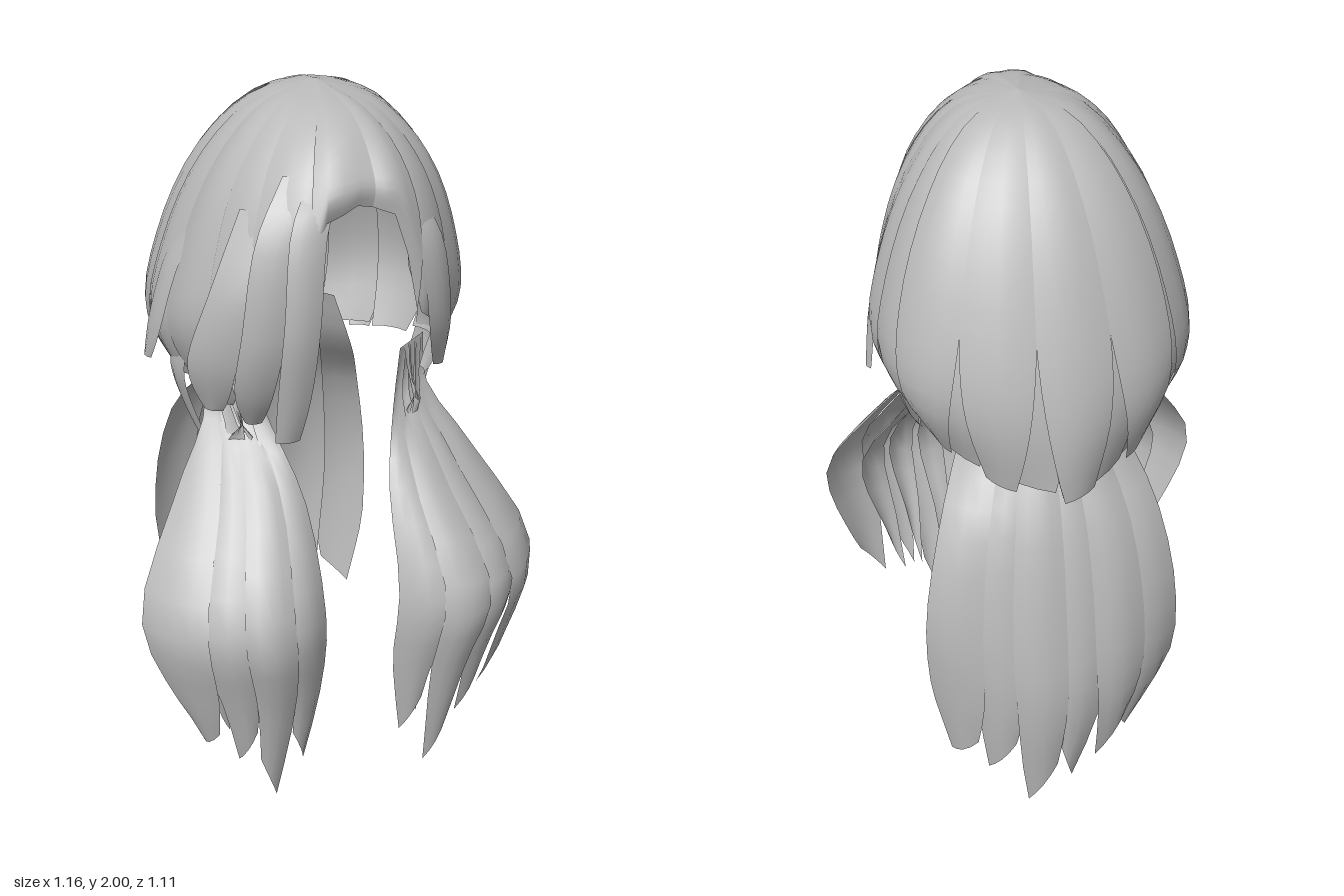
import * as THREE from 'three';

const hair = new THREE.MeshStandardMaterial({ color: 0xbababa, side: THREE.DoubleSide });
hair.name = 'hair grey';

let seed = 7;
const rand = () => (seed = (seed * 16807) % 2147483647) / 2147483647;
const V = (x, y, z) => new THREE.Vector3(x, y, z);
const lerp = THREE.MathUtils.lerp;
const curve = (pts) => new THREE.CatmullRomCurve3(pts);

// One lock: a tapering strip u0..u1 of a guide sheet, swollen away from the axis.
function lock(name, sheet, u0, u1, { taper = 0.7, from = 0.6, length = 1, lift = 0.01, lean = 0, swell = 0.012, axis = [0, 0], rows = 14 } = {}) {
  const cols = 5, pos = [], idx = [];
  const mid = (u0 + u1) / 2, half = (u1 - u0) / 2;
  for (let j = 0; j <= rows; j++) {
    const t = j / rows;
    const k = Math.max(0, (t - from) / (1 - from));
    const width = 1 - taper * k * k;
    for (let i = 0; i < cols; i++) {
      const w = (i / (cols - 1)) * 2 - 1;
      const u = mid + half * (w * width + lean * k * k);
      // Slanted end: one corner of the tip is shorter than the other
      const p = sheet(u, t * (length - 0.04 * k * (1 + w * Math.sign(lean))));
      const out = V(p.x - axis[0], 0, p.z - axis[1]).normalize();
      p.addScaledVector(out, (lift + swell * (1 - w * w)) * Math.min(1, t * 3));
      pos.push(p.x, p.y, p.z);
      if (i < cols - 1 && j < rows) {
        const a = j * cols + i, b = a + cols;
        idx.push(a, b, a + 1, a + 1, b, b + 1);
      }
    }
  }
  const g = new THREE.BufferGeometry();
  g.setAttribute('position', new THREE.Float32BufferAttribute(pos, 3));
  g.setIndex(idx);
  g.computeVertexNormals();
  const m = new THREE.Mesh(g, hair);
  m.name = name;
  return m;
}

// Cap guides: angle from the front, then radius and height from crown to hem.
const GUIDES = [
  [0, [0.15, 1.97], [0.24, 1.93], [0.3, 1.87], [0.33, 1.82], [0.32, 1.77]],
  [15, [0.15, 1.97], [0.25, 1.92], [0.32, 1.86], [0.36, 1.8], [0.35, 1.73]],
  [24, [0.16, 1.96], [0.28, 1.88], [0.36, 1.76], [0.39, 1.6], [0.38, 1.42]],
  [55, [0.16, 1.95], [0.29, 1.81], [0.36, 1.63], [0.38, 1.45], [0.31, 1.28]],
  [90, [0.15, 1.95], [0.275, 1.8], [0.365, 1.58], [0.4, 1.38], [0.32, 1.18]],
  [135, [0.17, 1.955], [0.33, 1.8], [0.45, 1.55], [0.485, 1.33], [0.37, 1.12]],
  [180, [0.16, 1.965], [0.32, 1.8], [0.45, 1.53], [0.52, 1.28], [0.53, 1.02]],
];
const CROWN = [0.02, 0.05];

function capSheet(deg, t) {
  const a = Math.abs(((deg + 540) % 360) - 180);
  let n = 0;
  while (n < GUIDES.length - 2 && a > GUIDES[n + 1][0]) n++;
  const A = GUIDES[n], B = GUIDES[n + 1];
  const f = (a - A[0]) / (B[0] - A[0]);
  const s = Math.sin(deg * Math.PI / 180), c = Math.cos(deg * Math.PI / 180);
  const pts = [V(CROWN[0], 1.995, CROWN[1] - 0.03)];
  for (let i = 1; i < A.length; i++) {
    const r = lerp(A[i][0], B[i][0], f);
    pts.push(V(CROWN[0] * (1 - i / 5) + s * r, lerp(A[i][1], B[i][1], f), CROWN[1] + c * r));
  }
  return curve(pts).getPoint(t);
}

function makeCap() {
  const g = new THREE.Group();
  g.name = 'cap';
  g.add(lock('fringeRight', capSheet, -21, 5, { taper: 0, axis: CROWN, lift: 0.015 }));
  g.add(lock('fringeLeft', capSheet, 3, 23, { taper: 0, axis: CROWN }));
  const n = 14, step = 322 / n;
  for (let i = 0; i < n; i++) {
    const a = 19 + i * step;
    g.add(lock('capLock', capSheet, a - 2.5, a + step + 2.5, {
      taper: 0.25, from: 0.75, length: 0.97 + rand() * 0.03, lift: (i % 2) * 0.006, swell: 0.008, axis: CROWN, rows: 18,
    }));
  }
  // Long layers lying over the back
  for (const a of [140, 163, 186, 209]) {
    g.add(lock('backLayer', capSheet, a - 12, a + 12, { taper: 0.6, from: 0.5, lift: 0.018, swell: 0.008, axis: CROWN, rows: 18 }));
  }
  return g;
}

// Side tail sheet: u = 0 at the inner edge, 1 at the outer edge.
function sideSheet(u, t) {
  const bow = 4 * u * (1 - u);
  return curve([
    V(lerp(0.22, 0.32, u), 1.27, lerp(0.16, 0.08, u)),
    V(lerp(0.18, 0.32, u), 1.13, lerp(0.22, 0.11, u)),
    V(lerp(0.13, 0.42, u), 0.95, lerp(0.34, 0.2, u) + 0.06 * bow),
    V(lerp(0.12, 0.555, u), 0.68, lerp(0.47, 0.33, u) + 0.12 * bow),
    V(lerp(0.1, 0.5, u), 0.42, lerp(0.43, 0.33, u) + 0.1 * bow),
    V(lerp(0.12, 0.43, u), 0.04 + 0.5 * (u - 0.35) ** 2, lerp(0.38, 0.3, u) + 0.05 * bow),
  ]).getPoint(t);
}

function makeSideTail(name, side) {
  const g = new THREE.Group();
  g.name = name;
  const sheet = (u, t) => {
    const p = sideSheet(u, t);
    p.x *= side;
    return p;
  };
  const n = 4;
  for (let i = 0; i < n; i++) {
    g.add(lock('sideTailLock', sheet, i / n - 0.03, (i + 1) / n + 0.03, {
      taper: 0.55, from: 0.6, length: i === 1 ? 1 : 0.92 + rand() * 0.06, lean: rand() - 0.5,
      lift: (i % 2) * 0.01, axis: [side * 0.25, 0.2],
    }));
  }
  // Sparse strands behind
  for (let i = 0; i < 3; i++) {
    g.add(lock('innerTailLock', sheet, 0.15 + i * 0.28, 0.38 + i * 0.28, {
      taper: 0.7, length: 0.86 + rand() * 0.08, lean: rand() - 0.5, lift: -0.07, axis: [side * 0.25, 0.2],
    }));
  }
  return g;
}

// Back tail sheet: u = -1..1 from the right edge to the left edge.
function backSheet(u, t) {
  const q = u * u;
  return curve([
    V(0.15 * u, 1.3, -0.3 + 0.1 * q),
    V(0.2 * u, 1.14, -0.35 + 0.14 * q),
    V(0.28 * u, 0.95, -0.44 + 0.08 * q),
    V(0.33 * u, 0.68, -0.51 + 0.09 * q),
    V(0.33 * u, 0.4, -0.54 + 0.14 * q),
    V(0.3 * u + 0.04, 0.22 * q - 0.01, -0.48 + 0.13 * q),
  ]).getPoint(t);
}

function makeBackTail() {
  const g = new THREE.Group();
  g.name = 'backTail';
  const n = 6;
  for (let i = 0; i < n; i++) {
    const a = -1 + (2 * i) / n;
    g.add(lock('backTailLock', backSheet, a - 0.05, a + 2 / n + 0.05, {
      taper: 0.55, from: 0.72, length: i === 3 ? 1 : 0.94 + rand() * 0.05, lean: i === 3 ? -0.6 : rand() - 0.5, lift: (i % 2) * 0.01,
    }));
  }
  return g;
}

// Free lock along a path; across is its half width as a vector.
function loose(name, path, across, opts) {
  const c = curve(path.map((p) => V(...p)));
  return lock(name, (u, t) => c.getPoint(t).addScaledVector(V(...across), u), -1, 1, { taper: 0.6, ...opts });
}

function makeLooseLocks() {
  const g = new THREE.Group();
  g.name = 'looseLocks';
  // Strands framing the face
  g.add(loose('faceLock', [[-0.06, 1.84, 0.34], [-0.13, 1.74, 0.4], [-0.16, 1.5, 0.43], [-0.17, 1.3, 0.4], [-0.18, 1.13, 0.36]], [0.045, 0, 0.005], { taper: 0.3 }));
  g.add(loose('faceLock', [[-0.12, 1.84, 0.33], [-0.2, 1.7, 0.37], [-0.24, 1.45, 0.37], [-0.25, 1.28, 0.32], [-0.23, 1.15, 0.25]], [0.05, 0, 0.02]));
  g.add(loose('faceLock', [[-0.21, 1.75, 0.3], [-0.29, 1.55, 0.31], [-0.34, 1.35, 0.26], [-0.32, 1.18, 0.2]], [0.05, 0, 0.05]));
  g.add(loose('faceLock', [[0.1, 1.82, 0.33], [0.18, 1.68, 0.38], [0.23, 1.45, 0.36], [0.27, 1.25, 0.27]], [0.04, 0, -0.02]));
  for (const s of [1, -1]) {
    // Ends hanging below the cap beside the side tails
    g.add(loose('hangingLock', [[s * 0.35, 1.42, 0.03], [s * 0.36, 1.24, 0.0], [s * 0.33, 1.12, 0.0], [s * 0.28, 0.99, 0.06]], [0, 0, 0.07]));
    // Wide locks sweeping from the cap into the tie
    g.add(loose('gatherLock', [[s * 0.34, 1.42, 0.2], [s * 0.32, 1.3, 0.16], [s * 0.27, 1.18, 0.15]], [-s * 0.03, 0, 0.08]));
    // Flicked side ends
    g.add(loose('flickLock', [[s * 0.29, 1.74, 0.04], [s * 0.37, 1.55, 0.02], [s * 0.41, 1.4, 0], [s * 0.43, 1.25, -0.04]], [0, 0, 0.06]));
  }
  return g;
}

export function createModel() {
  seed = 7;
  const model = new THREE.Group();
  model.name = 'hairstyle';
  model.add(makeCap(), makeSideTail('leftTail', 1), makeSideTail('rightTail', -1), makeBackTail(), makeLooseLocks());
  return model;
}
